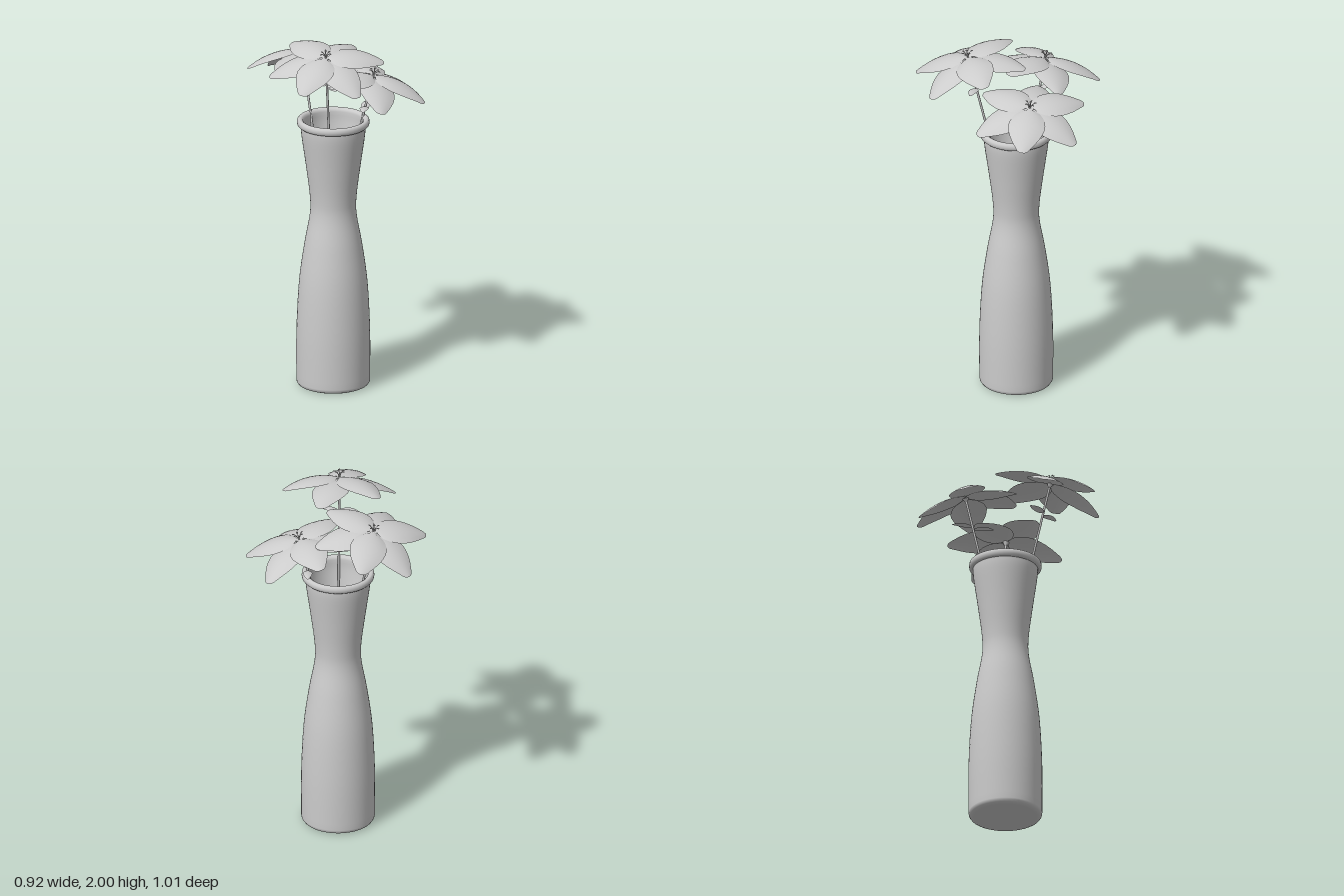
import * as THREE from 'three';

const grey = new THREE.MeshStandardMaterial({ color: 0xcccccc });
const thin = new THREE.MeshStandardMaterial({ color: 0xcccccc, side: THREE.DoubleSide });
const V2 = (x, y) => new THREE.Vector2(x, y);
const V3 = (x, y, z) => new THREE.Vector3(x, y, z);

function add(parent, name, geometry, material = grey) {
  const mesh = new THREE.Mesh(geometry, material);
  mesh.name = name;
  parent.add(mesh);
  return mesh;
}

// Leaf-shaped blade along +x, arched along its length and across its width
function bladeGeometry(length, width, rise, droop, base) {
  const outline = new THREE.SplineCurve([
    V2(0, 0.12), V2(0.08, 0.6), V2(0.25, 0.92), V2(0.45, 1), V2(0.68, 0.8), V2(0.88, 0.45), V2(0.97, 0.25), V2(1, 0.06)]);
  const geo = new THREE.PlaneGeometry(1, 1, 8, 14);
  const pos = geo.attributes.position;
  for (let i = 0; i < pos.count; i++) {
    const u = pos.getX(i) * 2;
    const p = outline.getPoint(pos.getY(i) + 0.5);
    const t = p.x;
    pos.setXYZ(i, base + length * t,
      rise * t - droop * t * t - 0.12 * width * u * u * p.y,
      u * p.y * width / 2);
  }
  geo.computeVertexNormals();
  return geo;
}

const upperPetal = bladeGeometry(0.30, 0.2, 0.05, 0.11, 0.015);
const lowerPetal = bladeGeometry(0.30, 0.2, 0.02, 0.11, 0.01);
const stemLeaf = bladeGeometry(0.11, 0.05, 0.045, 0.04, 0.003);

function makeStamens() {
  const stamens = new THREE.Group();
  stamens.name = 'stamens';
  for (let i = 0; i < 7; i++) {
    const a = i * Math.PI * 2 / 6;
    const r = i === 6 ? 0.002 : 0.022 + 0.006 * (i % 2);
    const h = i === 6 ? 0.04 : 0.028;
    const tip = V3(r * Math.cos(a), h, r * Math.sin(a));
    const path = new THREE.QuadraticBezierCurve3(V3(0, -0.005, 0), V3(tip.x * 0.3, h * 0.8, tip.z * 0.3), tip);
    add(stamens, 'filament', new THREE.TubeGeometry(path, 5, 0.0018, 5));
    const anther = add(stamens, 'anther', new THREE.SphereGeometry(0.004, 8, 6));
    anther.scale.set(2, 0.8, 1);
    anther.rotation.y = -a;
    anther.position.copy(tip);
  }
  return stamens;
}

// One flower: stem, leaf pair, calyx, two whorls of three petals and stamens
function makeFlower({ center, normal, upper, lower, leafY, leafAngle }) {
  const flower = new THREE.Group();
  flower.name = 'flower';
  const top = V3(...center);
  const axis = V3(...normal);
  const along = y => top.clone().addScaledVector(axis, (y - top.y) / axis.y);

  const path = new THREE.LineCurve3(along(0.45), top);
  add(flower, 'stem', new THREE.TubeGeometry(path, 4, 0.0065, 8));

  for (const side of [0, Math.PI]) {
    const leaf = add(flower, 'stemLeaf', stemLeaf, thin);
    leaf.position.copy(along(leafY + (side ? 0.012 : 0)));
    leaf.rotation.y = -leafAngle * Math.PI / 180 + side;
  }

  const head = new THREE.Group();
  head.name = 'flowerHead';
  head.position.copy(top);
  head.quaternion.setFromUnitVectors(V3(0, 1, 0), axis.clone().normalize());
  flower.add(head);

  const calyx = add(head, 'calyx', new THREE.CylinderGeometry(0.022, 0.007, 0.03, 10));
  calyx.position.y = -0.018;
  for (let i = 0; i < 3; i++) {
    const up = add(head, 'upperPetal', upperPetal, thin);
    up.rotation.y = -(upper + i * 120) * Math.PI / 180;
    const low = add(head, 'lowerPetal', lowerPetal, thin);
    low.rotation.y = -(lower + i * 120) * Math.PI / 180;
    low.position.y = -0.012;
  }
  head.add(makeStamens());
  return flower;
}

function makeVase() {
  const vase = new THREE.Group();
  vase.name = 'vase';
  const side = new THREE.SplineCurve([
    V2(0.2, 0.025), V2(0.2, 0.3), V2(0.186, 0.58), V2(0.157, 0.8), V2(0.127, 0.97),
    V2(0.127, 1.08), V2(0.148, 1.25), V2(0.172, 1.42), V2(0.176, 1.478)]).getPoints(40);
  const inner = side.slice(2).reverse().map(p => V2(p.x - 0.014, p.y));
  // Outer wall with a rounded foot, rolled rim, then the inner wall and floor
  const profile = [
    V2(0, 0), V2(0.175, 0), V2(0.18, 0), V2(0.192, 0.006), V2(0.198, 0.015), ...side,
    V2(0.178, 1.479), V2(0.188, 1.48), V2(0.195, 1.487), V2(0.197, 1.5), V2(0.195, 1.513),
    V2(0.187, 1.52), V2(0.175, 1.52), V2(0.165, 1.513), V2(0.162, 1.5),
    ...inner, V2(0.18, 0.03), V2(0, 0.03)];
  add(vase, 'vaseBody', new THREE.LatheGeometry(profile, 48));
  vase.position.set(-0.035, 0, 0.015);
  return vase;
}

export function createModel() {
  const model = new THREE.Group();
  model.name = 'vaseWithFlowers';
  model.add(makeVase());
  const flowers = [
    { center: [-0.21, 1.96, 0.21], normal: [-0.16, 1, 0.18], upper: -92, lower: -30, leafY: 1.77, leafAngle: 60 },
    { center: [-0.075, 1.855, -0.235], normal: [0, 1, -0.25], upper: 80, lower: 26, leafY: 1.67, leafAngle: 100 },
    { center: [0.17, 1.755, 0.1], normal: [0.19, 1, 0.15], upper: 50, lower: -10, leafY: 1.56, leafAngle: -50 },
  ];
  flowers.forEach(f => model.add(makeFlower(f)));
  return model;
}
